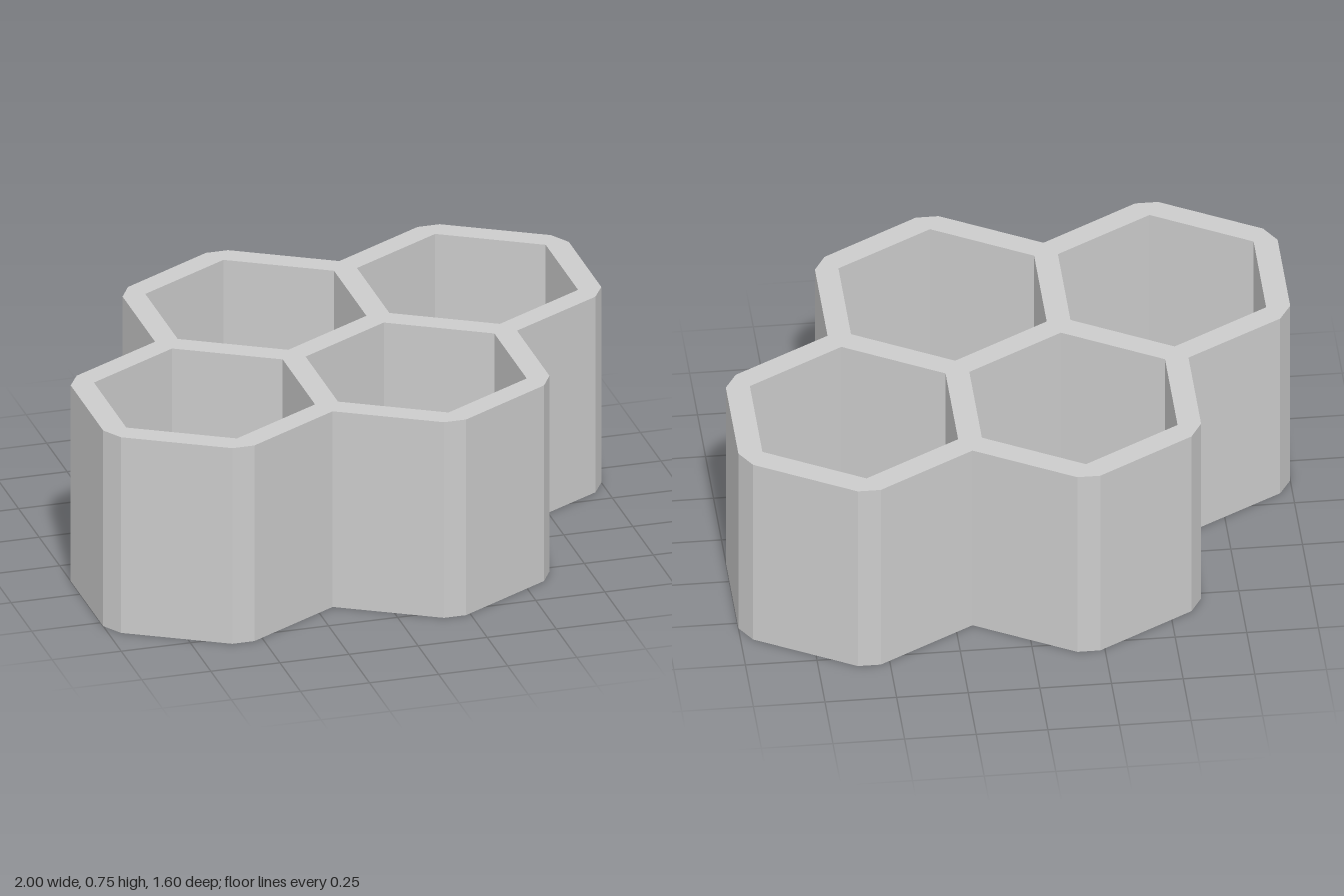
import * as THREE from 'three';

const HEIGHT = 0.745;
const PITCH = 0.766;             // distance between neighbouring cell centres
const WALL = 0.083;
const ROW = PITCH * Math.sqrt(3) / 4; // half the distance between the rows

export function createModel() {
  const group = new THREE.Group();
  const material = new THREE.MeshStandardMaterial({ color: 0xcccccc, flatShading: true });

  // Half of the chamfered outer outline; the other half is its 180-degree turn
  const half = [
    [-0.615, 0.134], [-0.615, 0.53], [-0.574, 0.602], [-0.233, 0.8], [-0.153, 0.8], [0.191, 0.602],
    [0.533, 0.8], [0.613, 0.8], [0.957, 0.602], [1, 0.53], [1, 0.134], [0.957, 0.062],
  ];
  const outline = [...half, ...half.map(([x, y]) => [-x, -y])];
  const shape = new THREE.Shape(outline.map(([x, y]) => new THREE.Vector2(x, y)));

  // Four open hexagonal cells in two staggered rows
  const radius = (PITCH - WALL) / Math.sqrt(3);
  for (const row of [-1, 1]) {
    for (const side of [-1, 1]) {
      const cx = row * PITCH / 4 + side * PITCH / 2;
      const cy = row * ROW;
      const corners = [];
      for (let i = 0; i < 6; i++) {
        const a = Math.PI / 6 + i * Math.PI / 3;
        corners.push(new THREE.Vector2(cx + radius * Math.cos(a), cy + radius * Math.sin(a)));
      }
      shape.holes.push(new THREE.Path(corners));
    }
  }

  // Extrude the plan upward
  const geometry = new THREE.ExtrudeGeometry(shape, { depth: HEIGHT, bevelEnabled: false });
  geometry.rotateX(-Math.PI / 2);
  const honeycomb = new THREE.Mesh(geometry, material);
  honeycomb.name = 'honeycombWalls';
  group.add(honeycomb);
  return group;
}
